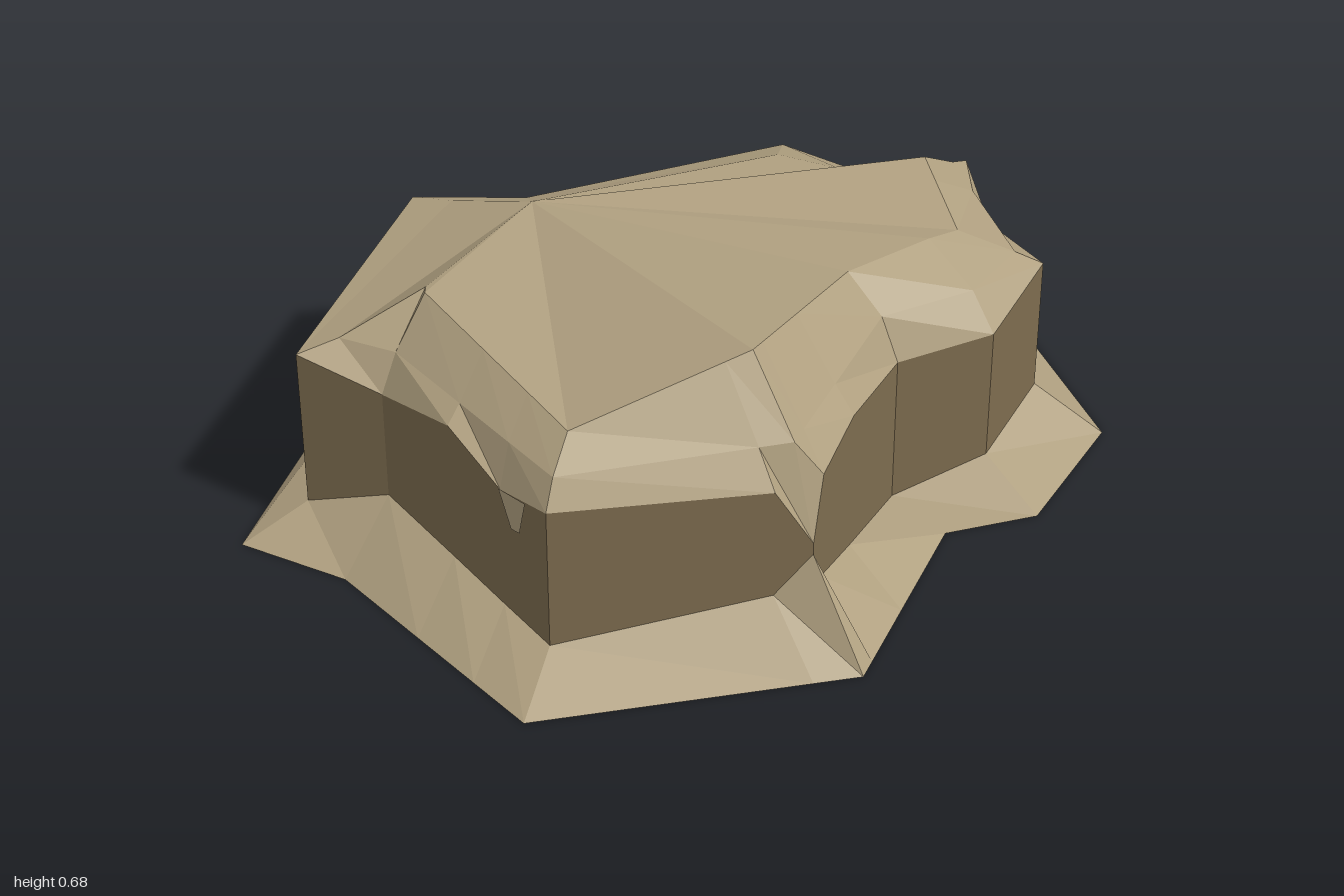
import * as THREE from 'three';

// Rock corners, clockwise from the left: foot x,z | wall x,z | wall bottom and top height | plateau rim x,y,z
const corners = [
  [-0.92, -0.34, -0.78, -0.24, 0.15, 0.48, -0.44, 0.575, -0.16],
  [-0.62, -0.48, -0.53, -0.34, 0.16, 0.46, -0.44, 0.575, -0.16],
  [-0.02, -0.95, 0.01, -0.78, 0.03, 0.43, 0.05, 0.56, -0.57],
  [0.2, -0.87, 0.21, -0.7, 0.06, 0.445, 0.21, 0.56, -0.55],
  [0.51, -1, 0.465, -0.83, 0.17, 0.47, 0.41, 0.6, -0.6],
  [0.92, -0.44, 0.75, -0.41, 0.13, 0.475, 0.55, 0.56, -0.36],
  [0.84, -0.06, 0.69, -0.16, 0.08, 0.42, 0.5, 0.575, -0.28],
  [0.65, 0.07, 0.5, -0.01, 0.02, 0.4, 0.36, 0.585, -0.07],
  [0.6, 0.63, 0.455, 0.54, 0.24, 0.27, 0.28, 0.675, 0.43],
  [-0.06, 1, -0.06, 0.825, 0.08, 0.44, -0.055, 0.565, 0.69],
  [-0.62, 0.65, -0.57, 0.49, 0.14, 0.42, -0.52, 0.605, 0.33],
  [-0.9, 0.6, -0.78, 0.48, 0.07, 0.48, -0.53, 0.6, 0.3],
];

// Extra points along a wall: corner it follows, fraction along, wall bottom and top height
const breaks = [
  [4, 0.33, 0.155, 0.385],
  [7, 0.55, 0.09, 0.45],
  [7, 0.9, 0.14, 0.42],
  [8, 0.15, 0.14, 0.42],
  [9, 0.27, 0.095, 0.41],
  [9, 0.58, 0.115, 0.475],
];

const mix = (a, b, t) => a.map((v, i) => v + (b[i] - v) * t);

// Flat-faced surface from a list of triangles, dropping collapsed ones
function facets(triangles) {
  const positions = [];
  for (const tri of triangles) {
    const [a, b, c] = tri.map((p) => new THREE.Vector3(...p));
    if (new THREE.Triangle(a, b, c).getArea() > 1e-6) positions.push(...tri.flat());
  }
  const geometry = new THREE.BufferGeometry();
  geometry.setAttribute('position', new THREE.Float32BufferAttribute(positions, 3));
  geometry.computeVertexNormals();
  return geometry;
}

// Closed band between a lower and an upper loop
function band(lower, upper) {
  return lower.flatMap((a, i) => {
    const j = (i + 1) % lower.length;
    return [[a, upper[i], upper[j]], [a, upper[j], lower[j]]];
  });
}

export function createModel() {
  const group = new THREE.Group();
  const material = (name, color) =>
    new THREE.MeshStandardMaterial({ name, color, side: THREE.DoubleSide, flatShading: true });
  const sand = material('sand', 0xb0a080);
  const rock = material('brown rock', 0x7d6c4f);

  const add = (name, triangles, mat) => {
    const mesh = new THREE.Mesh(facets(triangles), mat);
    mesh.name = name;
    group.add(mesh);
  };

  // Corners with the extra wall points inserted after them
  const sections = corners.flatMap((corner, i) => {
    const next = corners[(i + 1) % corners.length];
    const extra = breaks.filter(([after]) => after === i).map(([, t, bottom, top]) => {
      const section = mix(corner, next, t);
      section.splice(4, 2, bottom, top);
      return section;
    });
    return [corner, ...extra];
  });

  // Loops from the ground up to the plateau
  const foot = sections.map(([x, z]) => [x, 0, z]);
  const wallBottom = sections.map(([, , x, z, y]) => [x, y, z]);
  const wallTop = sections.map(([, , x, z, , y]) => [x, y, z]);
  const rim = sections.map((s) => s.slice(6));
  const shoulder = wallTop.map((p, i) => {
    const [x, , z] = mix(p, rim[i], 0.33);
    return [x, 0.505, z];
  });

  add('sandSkirt', band(foot, wallBottom), sand);
  add('cliffWall', band(wallBottom, wallTop), rock);
  add('capEdge', [...band(wallTop, shoulder), ...band(shoulder, rim)], sand);

  // Plateau fans out from its back left point
  add('plateau', rim.map((p, i) => [rim[0], rim[(i + 1) % rim.length], p]), sand);

  // Sand running down over the front cliff
  const a = [-0.2, 0.415, 0.739];
  const b = [-0.12, 0.428, 0.791];
  const tip = [-0.165, 0.33, 0.762];
  const side = [-0.14, 0.335, 0.778];
  add('frontDrip', [[a, tip, b], [tip, side, b]], sand);
  return group;
}
